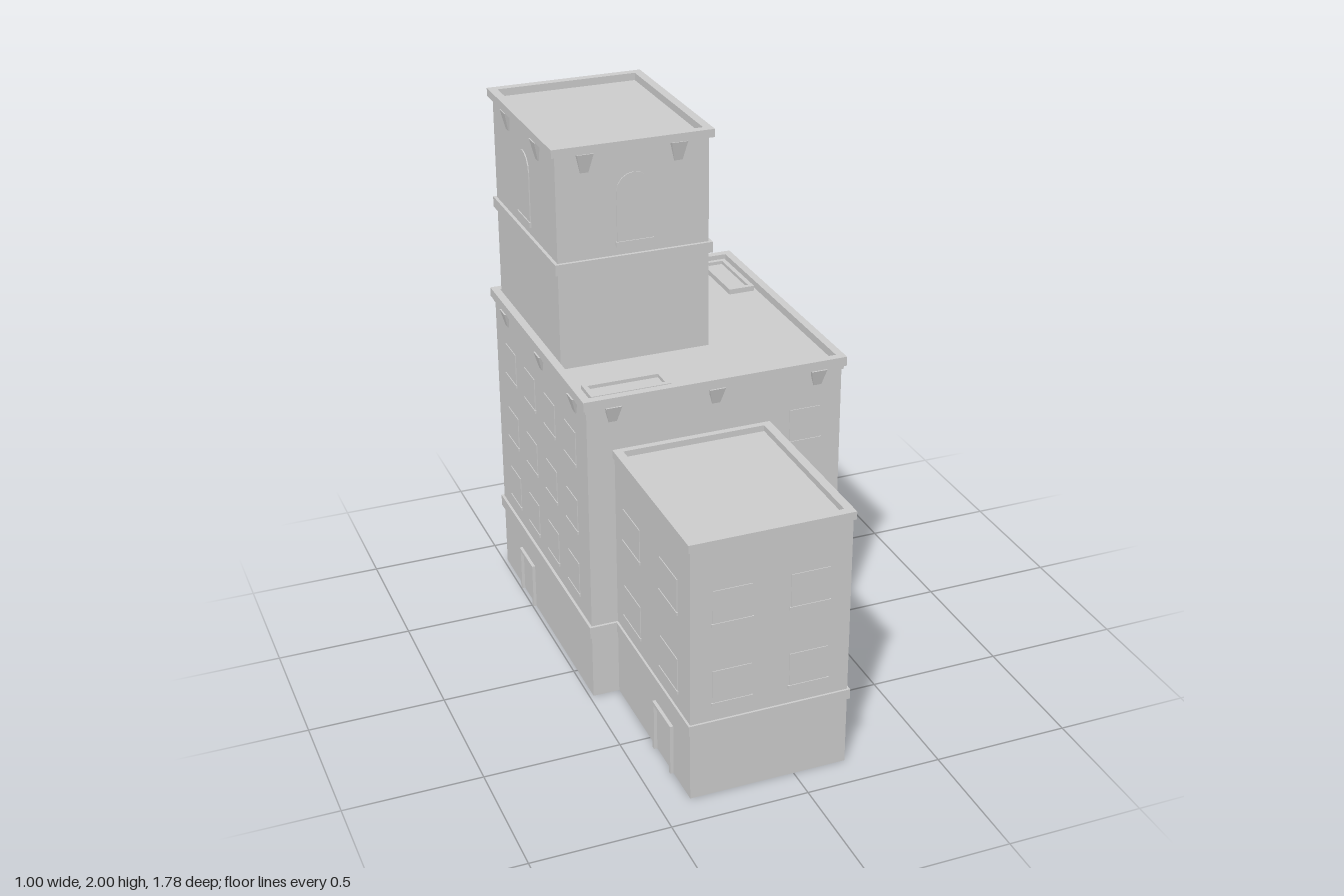
import * as THREE from 'three';

const mat = new THREE.MeshStandardMaterial({ color: 0xcccccc, flatShading: true, side: THREE.DoubleSide });

// Rotation of a part so that its local +z points out of each wall
const TURN = { front: 0, back: Math.PI, left: Math.PI / 2, right: -Math.PI / 2 };

export function createModel() {
  const model = new THREE.Group();
  model.name = 'building';

  const add = (name, geo, x = 0, y = 0, z = 0) => {
    const m = new THREE.Mesh(geo, mat);
    m.name = name;
    m.position.set(x, y, z);
    model.add(m);
    return m;
  };
  const box = (name, x0, x1, y0, y1, z0, z1) =>
    add(name, new THREE.BoxGeometry(x1 - x0, y1 - y0, z1 - z0), (x0 + x1) / 2, (y0 + y1) / 2, (z0 + z1) / 2);

  // Put a part on a wall: u runs along the wall in world units, p is the wall plane
  const place = (name, geo, side, u, y, p) => {
    const alongX = side === 'front' || side === 'back';
    const m = add(name, geo, alongX ? u : p, y, alongX ? p : u);
    m.rotation.y = TURN[side];
    return m;
  };
  const wall = (name, side, u0, u1, y0, y1, p) =>
    place(name, new THREE.PlaneGeometry(u1 - u0, y1 - y0), side, (u0 + u1) / 2, (y0 + y1) / 2, p);

  // Rectangular band around a plan [x0, x1, z0, z1], grown outward by g, t wide
  const ring = (name, [x0, x1, z0, z1], g, t, y0, y1) => {
    const rect = (C, d) => new C([[x0 - d, -z1 - d], [x1 + d, -z1 - d], [x1 + d, -z0 + d], [x0 - d, -z0 + d]]
      .map(([a, b]) => new THREE.Vector2(a, b)));
    const s = rect(THREE.Shape, g);
    s.holes.push(rect(THREE.Path, g - t));
    const geo = new THREE.ExtrudeGeometry(s, { depth: y1 - y0, bevelEnabled: false });
    geo.rotateX(-Math.PI / 2);
    return add(name, geo, 0, y0, 0);
  };
  const deck = (name, [x0, x1, z0, z1], y) => {
    const m = add(name, new THREE.PlaneGeometry(x1 - x0, z1 - z0), (x0 + x1) / 2, y, (z0 + z1) / 2);
    m.rotation.x = -Math.PI / 2;
  };

  // Thin shape pushed out from a wall
  const relief = (name, pts, depth, side, u, y, p) => {
    const s = new THREE.Shape(pts.map(([a, b]) => new THREE.Vector2(a, b)));
    return place(name, new THREE.ExtrudeGeometry(s, { depth, bevelEnabled: false }), side, u, y, p);
  };
  const windowAt = (side, u, y, p, w = 0.14, h = 0.13) => {
    place('window', new THREE.BoxGeometry(w, h, 0.006), side, u, y, p);
    place('windowSill', new THREE.BoxGeometry(w + 0.01, 0.012, 0.012), side, u, y - h / 2, p);
  };
  const archedWindow = (side, u, y, p, w, h) => {
    const pts = [[-w / 2, 0], [w / 2, 0]];
    for (let i = 0; i <= 8; i++) {
      const a = (i / 8) * Math.PI;
      pts.push([Math.cos(a) * w / 2, h - w / 2 + Math.sin(a) * w / 2]);
    }
    relief('archedWindow', pts, 0.004, side, u, y, p);
  };
  const sillBox = (side, u, y, p) =>
    place('sillBox', new THREE.BoxGeometry(0.15, 0.024, 0.024), side, u, y, p);
  const door = (side, u, y, p, w, h) => {
    const o = w / 2, i = o - 0.014;
    relief('doorFrame', [[-o, 0], [-i, 0], [-i, h - 0.014], [i, h - 0.014], [i, 0], [o, 0], [o, h], [-o, h]],
      0.012, side, u, y, p);
  };
  // Tapered wedge bracket, deepest under the cornice
  const bracket = (side, u, top, p, h) => {
    const geo = new THREE.BoxGeometry(0.06, h, 0.02);
    const v = geo.attributes.position;
    for (let i = 0; i < v.count; i++) {
      if (v.getY(i) < 0) v.setXYZ(i, v.getX(i) * 0.5, v.getY(i), v.getZ(i) > 0 ? -0.006 : -0.01);
    }
    geo.translate(0, -h / 2, 0.01);
    place('corniceBracket', geo, side, u, top, p);
  };

  const main = [-0.485, 0.48, -0.87, 0.18];
  const wing = [-0.385, 0.195, 0.18, 0.88];
  const tower = [-0.465, 0.1, -0.85, -0.145];

  // Main block: hollow walls, the left one notched for the shopfront
  wall('mainFrontWall', 'front', main[0], main[1], 0, 1.18, main[3]);
  wall('mainBackWall', 'back', main[0], main[1], 0, 1.18, main[2]);
  wall('mainRightWall', 'right', main[2], main[3], 0, 1.18, main[0]);
  const notch = [[-0.18, 0], [-0.11, 0], [-0.11, 0.25], [0.8, 0.25], [0.8, 0], [0.87, 0], [0.87, 1.18], [-0.18, 1.18]];
  place('mainLeftWall', new THREE.ShapeGeometry(new THREE.Shape(notch.map(([a, b]) => new THREE.Vector2(a, b)))),
    'left', 0, 0, main[1]);
  deck('mainRoof', main, 1.175);
  ring('mainLedge', main, 0.01, 0.02, 0.255, 0.3);
  ring('mainCorniceLip', main, 0.006, 0.02, 1.155, 1.17);
  ring('mainCornice', main, 0.014, 0.03, 1.17, 1.205);

  // Shopfront recess
  wall('shopGlass', 'left', -0.8, 0.11, 0, 0.25, 0.425);
  wall('shopJamb', 'front', 0.425, 0.48, 0, 0.25, -0.8);
  wall('shopJamb', 'back', 0.425, 0.48, 0, 0.25, 0.11);
  deck('shopCeiling', [0.425, 0.48, -0.8, 0.11], 0.25);
  box('shopLintel', 0.425, 0.465, 0.208, 0.235, -0.765, 0.07);
  for (let i = 0; i < 5; i++) {
    const z = -0.765 + i * 0.209;
    box('shopPost', 0.425, 0.438, 0, 0.21, z - 0.007, z + 0.007);
  }

  // Front wing
  wall('wingFrontWall', 'front', wing[0], wing[1], 0, 0.98, wing[3]);
  wall('wingLeftWall', 'left', wing[2], wing[3], 0, 0.98, wing[1]);
  wall('wingRightWall', 'right', wing[2], wing[3], 0, 0.98, wing[0]);
  deck('wingRoof', wing, 0.975);
  ring('wingLedge', wing, 0.008, 0.02, 0.262, 0.3);
  ring('wingCornice', wing, 0.008, 0.032, 0.968, 0.998);

  // Roof tower
  wall('towerFrontWall', 'front', tower[0], tower[1], 1.175, 1.98, tower[3]);
  wall('towerBackWall', 'back', tower[0], tower[1], 1.175, 1.98, tower[2]);
  wall('towerLeftWall', 'left', tower[2], tower[3], 1.175, 1.98, tower[1]);
  wall('towerRightWall', 'right', tower[2], tower[3], 1.175, 1.98, tower[0]);
  deck('towerRoof', tower, 1.972);
  ring('towerLedge', tower, 0.012, 0.02, 1.54, 1.58);
  ring('towerCornice', tower, 0.016, 0.032, 1.97, 2.0);

  // Brackets
  for (const [side, p] of [['front', main[3]], ['back', main[2]]])
    for (const u of [-0.39, -0.005, 0.385]) bracket(side, u, 1.17, p, 0.06);
  for (const [side, p] of [['left', main[1]], ['right', main[0]]])
    for (const u of [0.06, -0.31, -0.72]) bracket(side, u, 1.17, p, 0.06);
  for (const [side, p] of [['front', tower[3]], ['back', tower[2]]])
    for (const u of [-0.36, -0.015]) bracket(side, u, 1.97, p, 0.07);
  for (const [side, p] of [['left', tower[1]], ['right', tower[0]]])
    for (const u of [-0.33, -0.67]) bracket(side, u, 1.97, p, 0.07);

  // Main block windows
  for (const y of [0.43, 0.69, 0.96]) {
    windowAt('front', 0.34, y, main[3], 0.12);
    for (const u of [-0.17, 0.17]) windowAt('back', u, y, main[2]);
    for (const u of [-0.1, -0.6]) windowAt('left', u, y, main[1]);
    for (const u of [-0.69, -0.46, -0.23, 0]) windowAt('right', u, y, main[0], 0.12);
  }
  windowAt('left', -0.345, 0.975, main[1]);
  sillBox('left', -0.345, 0.91, main[1]);
  archedWindow('left', -0.345, 0.42, main[1], 0.13, 0.36);

  // Wing windows
  for (const y of [0.43, 0.74]) {
    for (const u of [-0.235, 0.045]) windowAt('front', u, y, wing[3]);
    for (const u of [0.34, 0.69]) {
      windowAt('left', u, y, wing[1], 0.16);
      windowAt('right', u, y, wing[0], 0.16);
    }
  }

  // Tower windows
  for (const [side, u, p] of [['front', -0.18, tower[3]], ['back', -0.18, tower[2]],
    ['left', -0.5, tower[1]], ['right', -0.5, tower[0]]]) {
    archedWindow(side, u, 1.63, p, 0.13, 0.25);
    place('towerSill', new THREE.BoxGeometry(0.14, 0.02, 0.016), side, u, 1.62, p);
  }

  // Doors
  door('left', 0.64, 0, wing[1], 0.17, 0.195);
  door('right', 0.64, 0, wing[0], 0.17, 0.195);
  door('right', -0.57, 0, main[0], 0.16, 0.18);
  door('left', -0.325, 1.175, tower[1], 0.17, 0.17);
  box('doorHood', 0.1, 0.118, 1.343, 1.358, -0.42, -0.23);

  // Skylights
  for (const plan of [[0.35, 0.452, -0.835, -0.54], [-0.452, -0.155, 0.035, 0.14]]) {
    ring('skylightFrame', plan, 0, 0.018, 1.175, 1.195);
    deck('skylightGlass', plan, 1.182);
  }

  return model;
}
